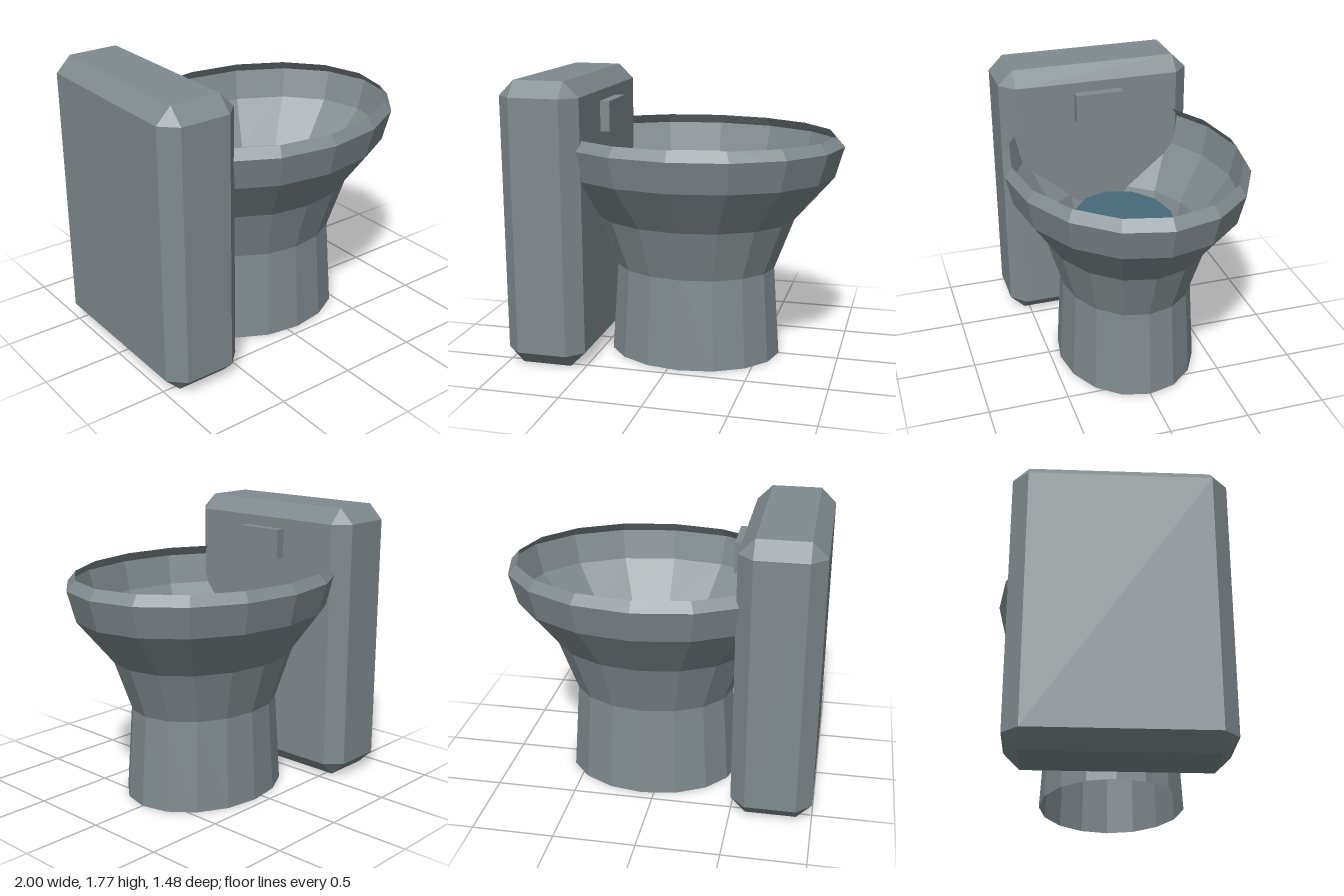
import * as THREE from 'three';
import { ConvexGeometry } from 'three/addons/geometries/ConvexGeometry.js';

const material = (name, color) => {
  const m = new THREE.MeshStandardMaterial({ color });
  m.name = name;
  return m;
};

function addPart(group, name, geometry, mat) {
  const mesh = new THREE.Mesh(geometry, mat);
  mesh.name = name;
  group.add(mesh);
  return mesh;
}

// Box with every edge and corner cut off by the same amount
function chamferedBox(w, h, d, c) {
  const points = [];
  for (const x of [-w / 2, w / 2])
    for (const y of [-h / 2, h / 2])
      for (const z of [-d / 2, d / 2]) {
        const ix = x - Math.sign(x) * c, iy = y - Math.sign(y) * c, iz = z - Math.sign(z) * c;
        points.push(
          new THREE.Vector3(x, iy, iz),
          new THREE.Vector3(ix, y, iz),
          new THREE.Vector3(ix, iy, z));
      }
  return new ConvexGeometry(points);
}

export function createModel() {
  const group = new THREE.Group();
  group.name = 'toilet';

  const ceramic = material('grey ceramic', 0x808a8e);
  ceramic.flatShading = true;
  const ceramicShell = material('grey ceramic shell', 0x808a8e);
  ceramicShell.flatShading = true;
  ceramicShell.side = THREE.DoubleSide;
  const water = material('blue water', 0x476a79);
  water.side = THREE.DoubleSide;

  const bowlX = 0.073, squash = 0.8;

  // Open bowl and pedestal: one oval shell, 16 sides
  const profile = [[0.55, 0], [0.51, 0.57], [0.63, 0.89], [0.87, 1.17], [0.925, 1.36], [0.87, 1.42]]
    .map(([r, y]) => new THREE.Vector2(r, y));
  const bowl = addPart(group, 'bowlAndPedestal', new THREE.LatheGeometry(profile, 16), ceramicShell);
  bowl.position.x = bowlX;
  bowl.scale.z = squash;

  // Water surface inside the bowl
  const disc = new THREE.CircleGeometry(0.39, 12).rotateX(-Math.PI / 2);
  const surface = addPart(group, 'waterSurface', disc, water);
  surface.position.set(bowlX, 0.97, 0);
  surface.scale.z = squash;

  // Tall tank behind the bowl
  addPart(group, 'tank', chamferedBox(0.5, 1.77, 1.26, 0.094), ceramic)
    .position.set(-0.75, 0.885, 0);

  // Flush button on the tank
  addPart(group, 'flushButton', new THREE.BoxGeometry(0.08, 0.19, 0.315), ceramic)
    .position.set(-0.48, 1.515, 0);

  return group;
}
